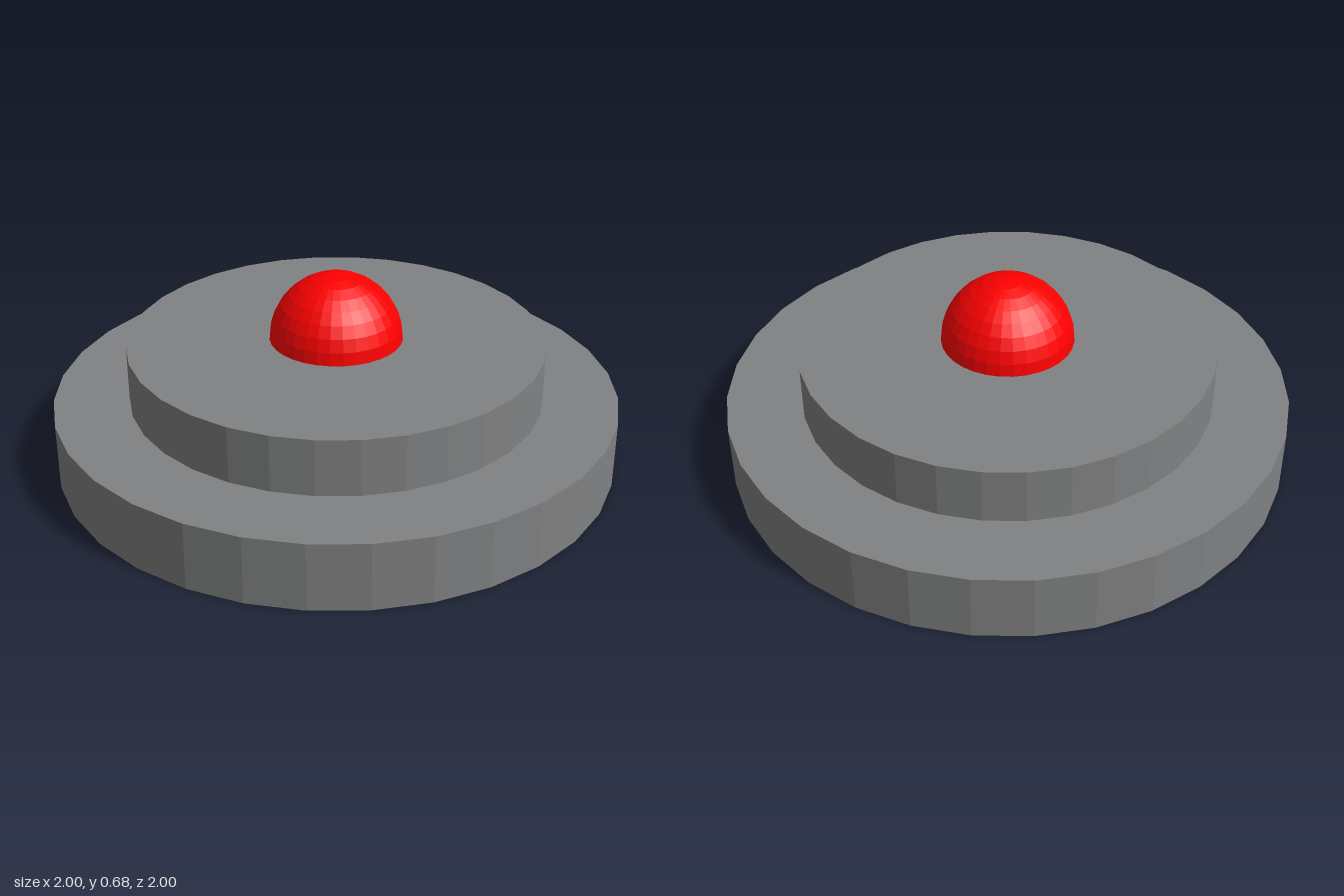
import * as THREE from 'three';

export function createModel() {
  const group = new THREE.Group();
  const grey = new THREE.MeshStandardMaterial({ color: 0x808182, flatShading: true });
  const red = new THREE.MeshStandardMaterial({ color: 0xff0000, flatShading: true });

  const add = (name, geometry, material, y) => {
    const mesh = new THREE.Mesh(geometry, material);
    mesh.name = name;
    mesh.position.y = y;
    group.add(mesh);
  };
  const disc = (name, radius, bottom, top) =>
    add(name, new THREE.CylinderGeometry(radius, radius, top - bottom, 32), grey, (bottom + top) / 2);

  // Two stacked discs
  disc('base', 1, 0, 0.24);
  disc('upperDisc', 0.735, 0.24, 0.44);

  // Domed button on top
  add('button', new THREE.SphereGeometry(0.235, 32, 8, 0, Math.PI * 2, 0, Math.PI / 2), red, 0.44);

  return group;
}
